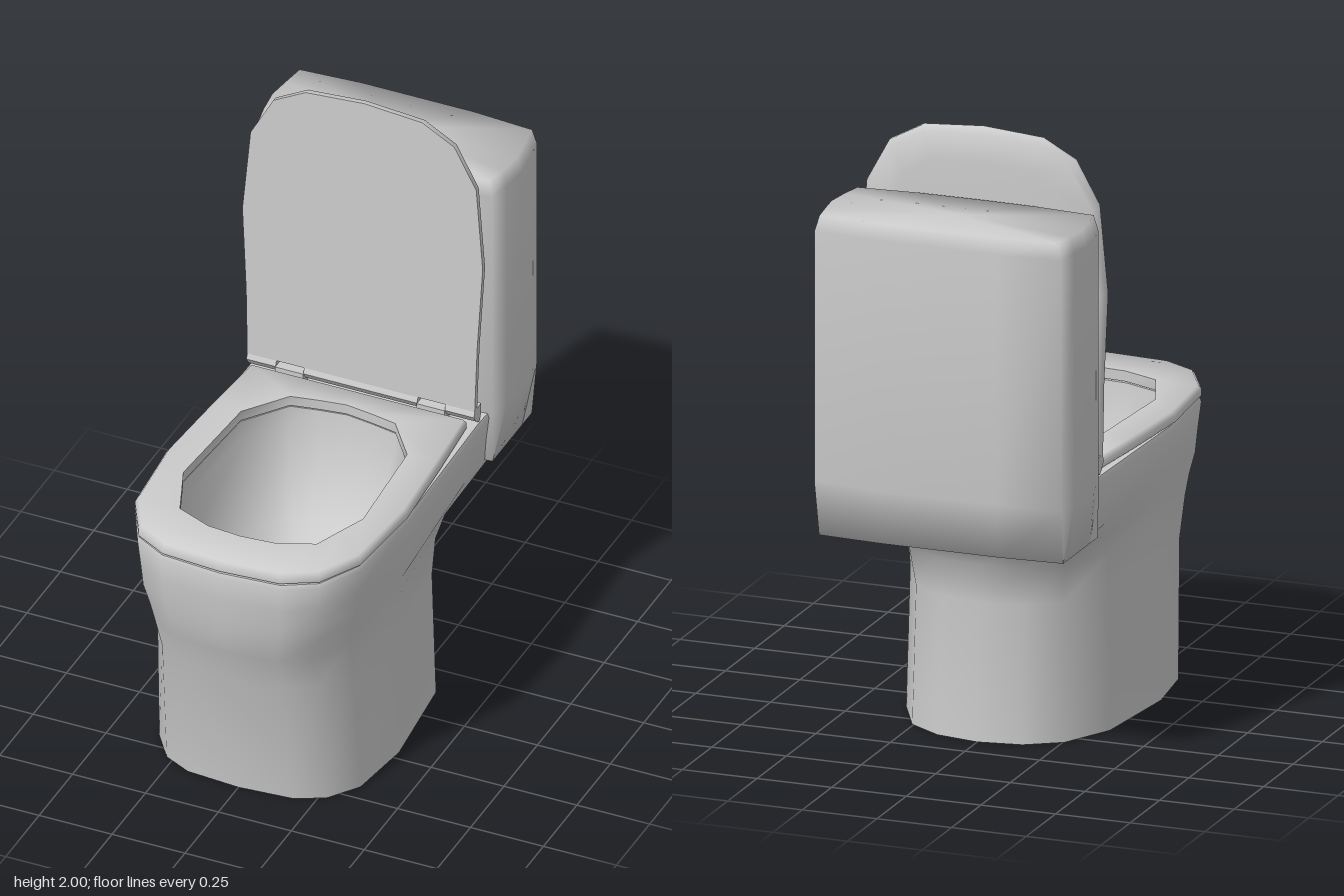
import * as THREE from 'three';
import { toCreasedNormals } from 'three/addons/utils/BufferGeometryUtils.js';

const material = new THREE.MeshStandardMaterial({ color: 0xcccccc, side: THREE.DoubleSide });

// Half outlines [x, z], running from the front round the left side to the back
const SEAT = [[0, .745], [.2, .73], [.31, .67], [.387, .53], [.412, .24], [.392, -.06], [.372, -.295], [.19, -.295], [0, -.295]];
const LID = [...SEAT.slice(0, 5), [.396, -.06], [.39, -.295], [.19, -.295], [0, -.295]];
const HOLE = [[0, .585], [.115, .575], [.235, .525], [.27, .435], [.308, .34], [.285, -.04], [.18, -.18], [.09, -.197], [0, -.21]];
const TANK = [[0, -.385], [.2, -.387], [.41, -.405], [.425, -.48], [.435, -.57], [.425, -.65], [.413, -.733], [.2, -.748], [0, -.748]];
const TANK_FOOT = TANK.map(([x, z]) => [Math.min(x, .409), z]);
// Unit outlines of the body: rounded at the foot, square-backed under the tank
const ROUND = [[0, 1], [.48, .965], [.73, .85], [.92, .6], [1, .04], [.91, -.56], [.68, -.84], [.38, -.96], [0, -1]];
const SQUARE = [[0, 1], [.5, .97], [.76, .86], [.94, .6], [1, .04], [.965, -.6], [.99, -.95], [.5, -1], [0, -1]];

// Mirrors a half outline into a closed ring at height y, scaled about depth cz
function ring(half, y, sx = 1, sz = sx, cz = 0) {
  const full = [...half, ...half.slice(1, -1).reverse().map(([x, z]) => [-x, z])];
  return full.map(([x, z]) => [x * sx, y, cz + (z - cz) * sz]);
}

// Body ring with separate front and back reach; squareness blends the two outlines
function bodyRing(y, width, front, back, squareness) {
  const mid = .2;
  return ring(ROUND.map(([x0, t0], i) => {
    const x = THREE.MathUtils.lerp(x0, SQUARE[i][0], squareness);
    const t = THREE.MathUtils.lerp(t0, SQUARE[i][1], squareness);
    return [x * width, t > 0 ? mid + t * (front - mid) : mid + t * (mid - back)];
  }), y);
}

// Skins a list of rings; closed joins the last ring to the first
function loft(name, rings, crease, closed = false) {
  const n = rings[0].length, m = rings.length, index = [];
  for (let i = 0; i < (closed ? m : m - 1); i++) {
    for (let j = 0; j < n; j++) {
      const k = (j + 1) % n, up = ((i + 1) % m) * n;
      const a = i * n + j, b = i * n + k, c = up + k, d = up + j;
      index.push(a, b, c, a, c, d);
    }
  }
  const geometry = new THREE.BufferGeometry();
  geometry.setAttribute('position', new THREE.Float32BufferAttribute(rings.flat(2), 3));
  geometry.setIndex(index);
  const mesh = new THREE.Mesh(toCreasedNormals(geometry, crease), material);
  mesh.name = name;
  return mesh;
}

export function createModel() {
  const group = new THREE.Group();
  group.name = 'toilet';

  // Pedestal flaring up into the rim and back under the tank, then down into the bowl; open underneath
  const outer = [
    [0, .375, .6, -.397, 0], [.45, .365, .655, -.378, 0], [.58, .37, .71, -.395, .1], [.65, .378, .727, -.45, .45],
    [.72, .392, .738, -.59, 1], [.8, .4, .745, -.68, 1], [.885, .411, .75, -.69, 1], [.9, .406, .745, -.69, 1],
  ].map(r => bodyRing(...r));
  const inner = [[.9, 1.01], [.84, .99], [.7, .9], [.57, .7], [.48, .4], [.45, 0]]
    .map(([y, s]) => ring(HOLE, y, s, s, .17));
  group.add(loft('pedestalAndBowl', [...outer, ...inner], 1.1));

  // Seat ring with a softened upper edge
  group.add(loft('seat', [
    ring(SEAT, .906), ring(SEAT, .926), ring(SEAT, .94, .975, .985, .2),
    ring(HOLE, .94), ring(HOLE, .906),
  ], 1.1, true));

  // Raised lid, leaning slightly back
  const lid = loft('lid', [
    ring(LID, 0, 0, 0, .2), ring(LID, 0), ring(LID, .018),
    ring(LID, .034, .96, .97, .2), ring(LID, .043, .8, .8, .2), ring(LID, .044, 0, 0, .2),
  ], 1.1);
  lid.rotation.x = -Math.PI / 2 - .022;
  lid.position.set(0, 1.253, -.323);
  group.add(lid);

  // Curled lower edge of the lid, split into three knuckles; profile is [-z, y]
  const curl = new THREE.Shape([[.31, .94], [.328, .915], [.345, .903], [.357, .908], [.363, .925], [.365, .962], [.319, .962]]
    .map(p => new THREE.Vector2(...p)));
  for (const [name, x, width] of [['rightKnuckle', -.39, .1], ['middleKnuckle', -.195, .39], ['leftKnuckle', .29, .1]]) {
    const knuckle = new THREE.Mesh(new THREE.ExtrudeGeometry(curl, { depth: width, bevelEnabled: false }), material);
    knuckle.name = name;
    knuckle.rotation.y = Math.PI / 2;
    knuckle.position.x = x;
    group.add(knuckle);
  }

  // Hinge blocks in the gaps between the knuckles
  for (const side of [-1, 1]) {
    const hinge = new THREE.Mesh(new THREE.BoxGeometry(.095, .04, .045), material);
    hinge.name = side > 0 ? 'leftHinge' : 'rightHinge';
    hinge.position.set(side * .2425, .92, -.33);
    group.add(hinge);
  }

  // Water tank, tapered at the bottom and softened at the top
  group.add(loft('tank', [
    ring(TANK_FOOT, .72, 0, 0, -.565), ring(TANK_FOOT, .72, 1, .9, -.44), ring(TANK, .9),
    ring(TANK, 1.72), ring(TANK, 1.772, .965, .965, -.565), ring(TANK, 1.775, 0, 0, -.565),
  ], 1.5));

  return group;
}
